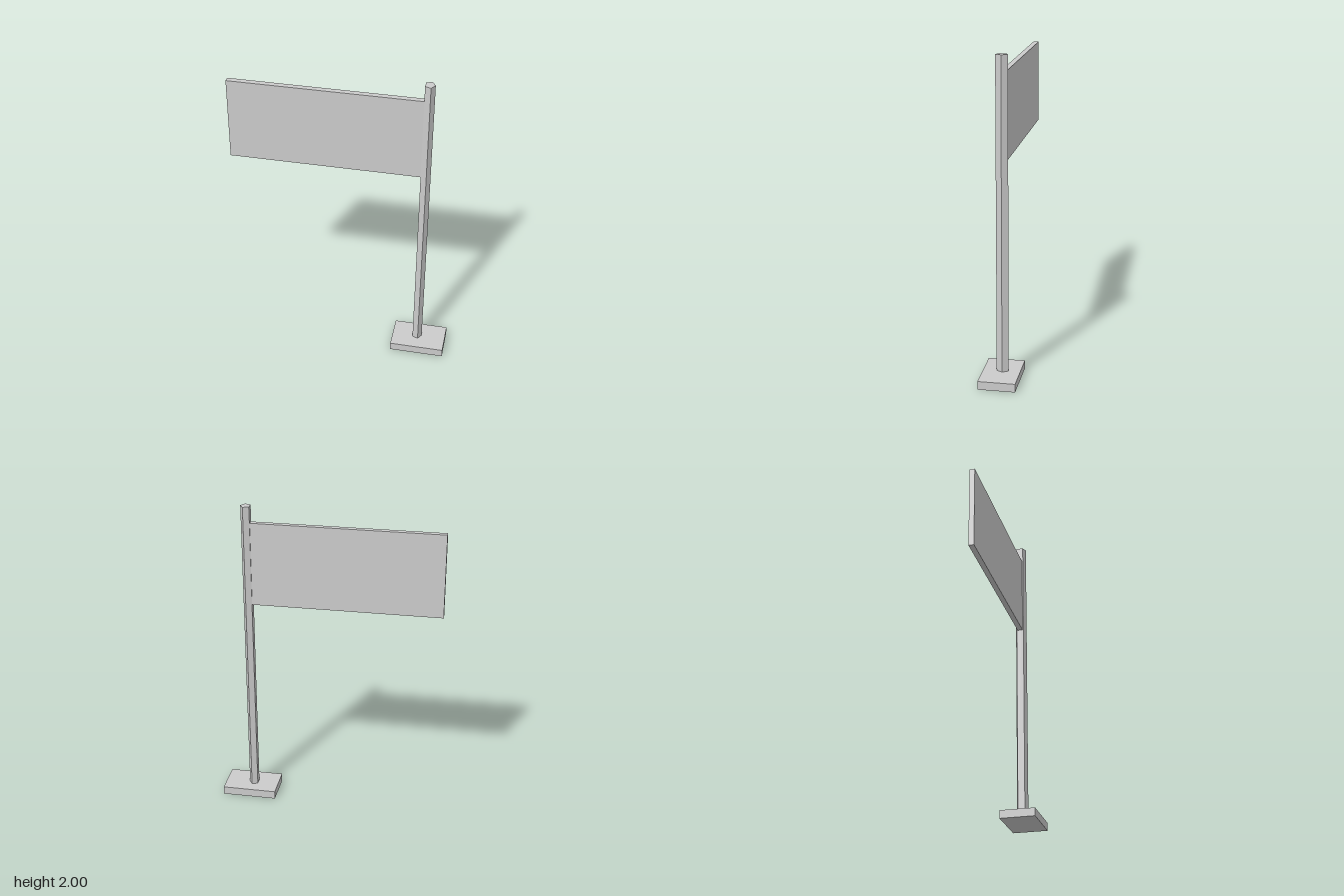
import * as THREE from 'three';

const material = new THREE.MeshStandardMaterial({ color: 0xcccccc, flatShading: true });

// Box given by its minimum and maximum on each axis
function block(name, [x0, x1], [y0, y1], [z0, z1]) {
  const mesh = new THREE.Mesh(new THREE.BoxGeometry(x1 - x0, y1 - y0, z1 - z0), material);
  mesh.name = name;
  mesh.position.set((x0 + x1) / 2, (y0 + y1) / 2, (z0 + z1) / 2);
  return mesh;
}

export function createModel() {
  const group = new THREE.Group();
  group.name = 'signpost';
  const poleX = 0.517, poleZ = -0.006, baseTop = 0.053;

  // Rectangular foot
  group.add(block('base', [0.355, 0.705], [0, baseTop], [-0.115, 0.115]));

  // Five-sided pole, slightly deeper than wide, one edge pointing to +x
  const height = 2 - baseTop;
  const poleGeometry = new THREE.CylinderGeometry(1, 1, height, 5);
  poleGeometry.rotateY(Math.PI / 2);
  poleGeometry.scale(0.0325, 1, 0.039);
  const pole = new THREE.Mesh(poleGeometry, material);
  pole.name = 'pole';
  pole.position.set(poleX, baseTop + height / 2, poleZ);
  group.add(pole);

  // Flat panel hung from one side of the pole
  group.add(block('panel', [-0.705, 0.495], [1.36, 1.895], [poleZ - 0.017, poleZ + 0.017]));

  return group;
}
